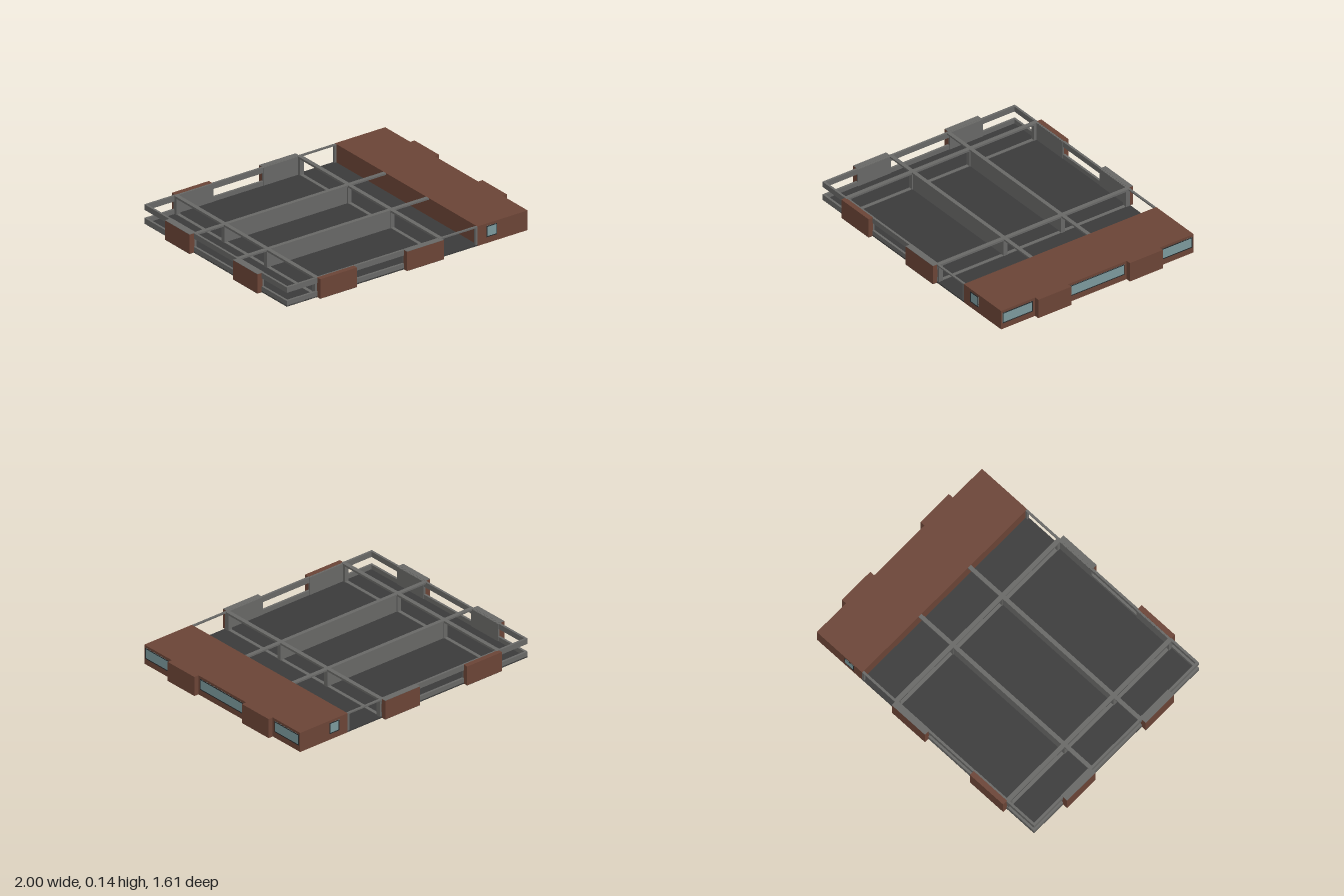
import * as THREE from 'three';

const mat = (color) => new THREE.MeshStandardMaterial({ color });
const brick = mat(0x6b4436);
const concrete = mat(0x686866);
const floorDark = mat(0x3b3b3b);
const underDark = mat(0x222222);
const frameDark = mat(0x262a2c);
const glass = mat(0x7b999c);

export function createModel() {
  const model = new THREE.Group();
  const H = 0.14, X = 0.965, Z = 0.772, T = 0.016, BX = 0.562;

  // Box given by its minimum and maximum on every axis
  function box(name, x0, x1, y0, y1, z0, z1, material) {
    const mesh = new THREE.Mesh(new THREE.BoxGeometry(x1 - x0, y1 - y0, z1 - z0), material);
    mesh.position.set((x0 + x1) / 2, (y0 + y1) / 2, (z0 + z1) / 2);
    mesh.name = name;
    model.add(mesh);
    return mesh;
  }
  // Same box, mirrored to the front or back by s
  const boxZ = (name, s, x0, x1, y0, y1, z0, z1, m) =>
    box(name, x0, x1, y0, y1, s > 0 ? z0 : -z1, s > 0 ? z1 : -z0, m);

  // Floor slab and darker plates on its underside
  box('floorSlab', -X, BX, 0.001, 0.01, -Z, Z, floorDark);
  box('undersidePlate', 0.27, BX, 0, 0.005, 0.235, 0.5, underDark);
  box('undersidePlate', 0.27, BX, 0, 0.005, -0.5, -0.235, underDark);
  box('undersidePlate', -X, -0.72, 0, 0.005, -0.235, 0.235, underDark);

  // Closed wing along the left side
  box('brickWing', BX, X, 0, H, -Z, Z, brick);

  for (const s of [1, -1]) {
    // Sills and upper beams of the open long sides
    boxZ('sill', s, -X, 0.27, 0.002, 0.042, Z - T, Z, concrete);
    boxZ('edgeBeam', s, -X, 0.27, 0.1, H - 0.001, Z - T, Z, concrete);
    boxZ('thinEdgeBeam', s, 0.27, BX, 0.13, H - 0.001, Z - T, Z, concrete);
    boxZ('jamb', s, BX - 0.015, BX, 0.01, H - 0.002, Z - T, Z, concrete);

    // Projecting wall panels, front and back
    for (const [x0, x1, cap] of [[-0.72, -0.425, brick], [-0.025, 0.27, concrete]]) {
      boxZ('wallPanel', s, x0, x1, 0.001, H - 0.002, Z - 0.005, 0.803, brick);
      boxZ('panelCap', s, x0, x1, H - 0.002, H, Z - 0.005, 0.803, cap);
      boxZ('panelBase', s, x0, x1, 0, 0.001, Z - 0.005, 0.803, floorDark);
      boxZ('panelLining', s, x0, x1, 0.01, H - 0.002, Z - T - 0.002, Z - 0.005, concrete);
    }

    // Projecting wall panels at both ends
    boxZ('endPanel', s, -1, -X + 0.005, 0.001, H - 0.002, 0.235, 0.5, brick);
    boxZ('panelCap', s, -1, -X + 0.005, H - 0.002, H, 0.235, 0.5, concrete);
    boxZ('panelBase', s, -1, -X + 0.005, 0, 0.001, 0.235, 0.5, floorDark);
    boxZ('panelLining', s, -X + 0.005, -X + T + 0.004, 0.01, H - 0.002, 0.235, 0.5, concrete);
    boxZ('wingPanel', s, X - 0.01, 1, 0, H, 0.235, 0.5, brick);

    // Interior partition with the beam above it
    boxZ('partition', s, -0.72, 0.27, 0.01, H - 0.004, 0.223, 0.24, concrete);
    boxZ('crossBeam', s, -X, BX, 0.128, H, 0.217, 0.245, concrete);
  }

  // Open end on the right side
  box('endSill', -X, -X + T, 0.002, 0.042, -Z, Z, concrete);
  box('endBeam', -X, -X + T, 0.1, H - 0.001, -Z, Z, concrete);

  // Door frames between the long bays: head beam, floor strip and posts
  for (const x of [-0.72, 0.27]) {
    box('headBeam', x - 0.015, x + 0.015, 0.126, H, -Z, Z, concrete);
    box('floorStrip', x - 0.012, x + 0.012, 0.009, 0.014, -Z + T, Z - T, concrete);
    for (const z of [-0.75, -0.231, 0.231, 0.75])
      box('framePost', x - 0.015, x + 0.015, 0.01, 0.128, z - 0.016, z + 0.016, concrete);
  }

  // Framed window, built facing +z and turned into place
  function addWindow(x, z, turn, width, y0, y1) {
    const group = new THREE.Group();
    group.name = 'window';
    const h = y1 - y0, f = 0.006;
    const add = (name, w, hh, d, px, py, m) => {
      const mesh = new THREE.Mesh(new THREE.BoxGeometry(w, hh, d), m);
      mesh.position.set(px, py, 0);
      mesh.name = name;
      group.add(mesh);
    };
    add('pane', width, h, 0.003, 0, 0, glass);
    for (const s of [-1, 1]) {
      add('windowRail', width, f, 0.006, 0, s * (h - f) / 2, frameDark);
      add('windowStile', f, h, 0.006, s * (width - f) / 2, 0, frameDark);
    }
    group.position.set(x, (y0 + y1) / 2, z);
    group.rotation.y = turn;
    model.add(group);
  }
  for (const [z, w] of [[0.64, 0.24], [0, 0.435], [-0.64, 0.24]])
    addWindow(X, z, Math.PI / 2, w, 0.043, 0.122);
  addWindow(0.676, Z, 0, 0.085, 0.043, 0.122);
  addWindow(0.676, -Z, Math.PI, 0.085, 0.043, 0.122);

  return model;
}
